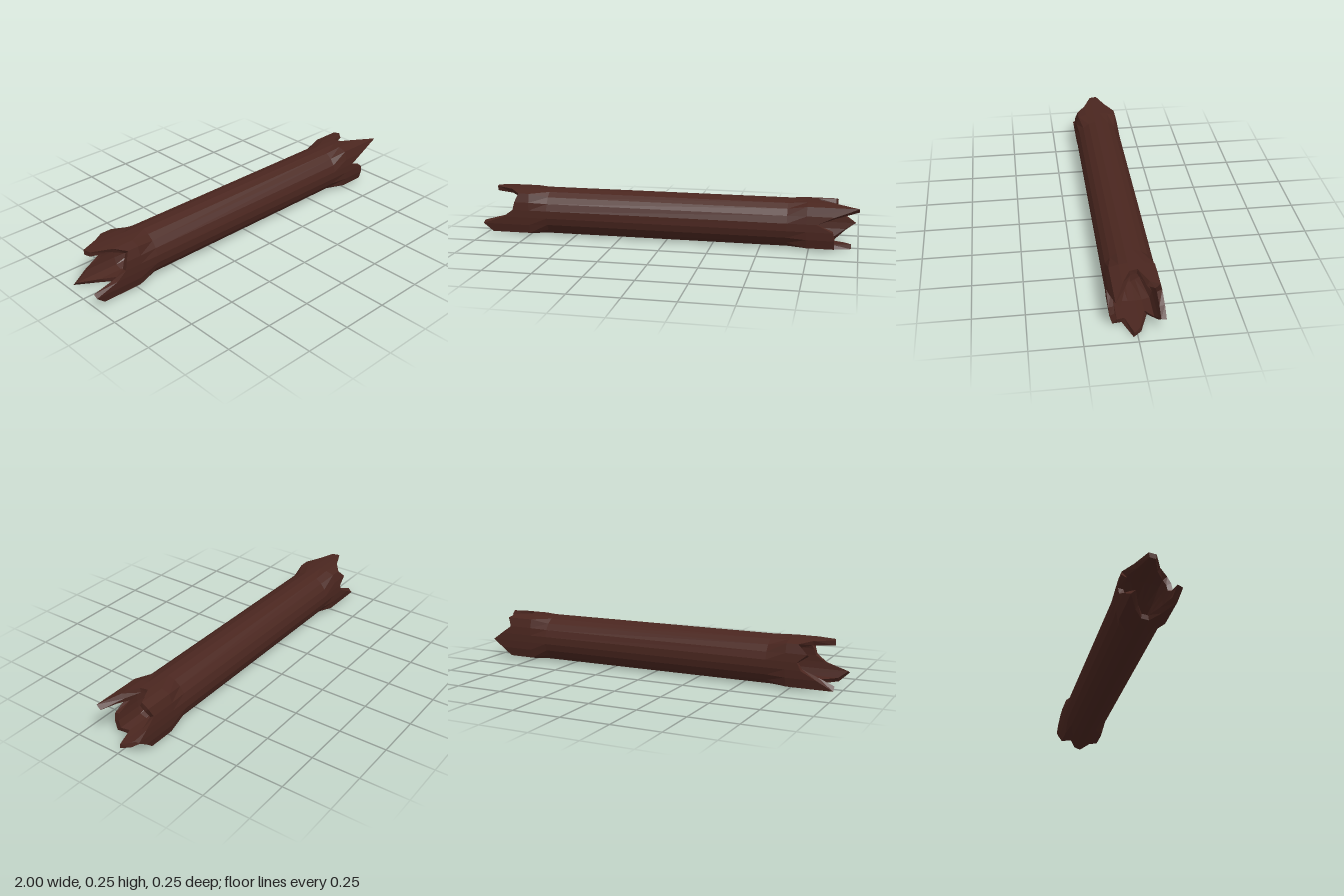
import * as THREE from 'three';

const SIDES = 20;
const angle = (i) => THREE.MathUtils.degToRad(9 + 18 * i); // from front (+z) up to +y

// Splinter lengths around each end, starting at the front and going over the top
const LEFT_TIPS = [0.79, 0.88, 1.0, 0.88, 0.80, 0.79, 0.88, 0.89, 0.87, 0.93,
  0.985, 0.93, 0.88, 0.82, 0.93, 0.965, 0.86, 0.88, 0.88, 0.87];
const RIGHT_TIPS = [0.83, 0.82, 0.80, 0.85, 0.95, 0.96, 0.86, 0.80, 0.85, 0.80,
  0.82, 0.90, 0.98, 0.87, 0.80, 0.79, 0.86, 0.95, 1.0, 0.88];

// Cross-section radii: round trunk, boxy flared ends, six-sided hollow
const round = () => 0.1265;
const boxy = (i) => [0.1265, 0.136, 0.153, 0.136, 0.1265][i % 5];
const boxyInner = (i) => boxy(i) * 0.8;
const hex = (i) => {
  const a = THREE.MathUtils.euclideanModulo(9 + 18 * i, 60) - 30;
  return 0.075 / Math.cos(THREE.MathUtils.degToRad(Math.abs(a) < 30 ? 30 - Math.abs(a) : 0));
};

function ring(x, radius) {
  return Array.from({ length: SIDES }, (_, i) => {
    const r = radius(i), a = angle(i);
    return new THREE.Vector3(typeof x === 'number' ? x : x(i), 0.125 + r * Math.sin(a), r * Math.cos(a));
  });
}

// Skin a row of rings with quads
function loft(name, rings, material) {
  const points = rings.flat();
  const index = [];
  for (let j = 0; j < rings.length - 1; j++) {
    for (let i = 0; i < SIDES; i++) {
      const n = (i + 1) % SIDES;
      const a = j * SIDES + i, d = j * SIDES + n, b = a + SIDES, c = d + SIDES;
      index.push(a, b, c, a, c, d);
    }
  }
  let geometry = new THREE.BufferGeometry().setFromPoints(points);
  geometry.setIndex(index);
  geometry = geometry.toNonIndexed();
  geometry.computeVertexNormals();
  const mesh = new THREE.Mesh(geometry, material);
  mesh.name = name;
  return mesh;
}

export function createModel() {
  const group = new THREE.Group();
  group.name = 'hollowLog';
  const wood = new THREE.MeshStandardMaterial({ color: 0x4a261f, flatShading: true });

  const leftTip = (i) => LEFT_TIPS[i];
  const rightTip = (i) => -RIGHT_TIPS[i];
  const outerLeft = ring(leftTip, boxy), outerRight = ring(rightTip, boxy);
  const innerLeft = ring(leftTip, boxyInner), innerRight = ring(rightTip, boxyInner);

  // Outer bark with flared, splintered ends
  group.add(loft('bark', [
    outerRight, ring(-0.74, boxy), ring(-0.64, round),
    ring(0.64, round), ring(0.74, boxy), outerLeft,
  ], wood));

  // Through hole, running back the other way so it faces inwards
  group.add(loft('hollow', [
    innerLeft, ring(0.74, boxyInner), ring(0.62, hex),
    ring(-0.62, hex), ring(-0.74, boxyInner), innerRight,
  ], wood));

  // Jagged edges joining bark and hollow
  group.add(loft('leftSplinteredRim', [outerLeft, innerLeft], wood));
  group.add(loft('rightSplinteredRim', [innerRight, outerRight], wood));
  return group;
}
